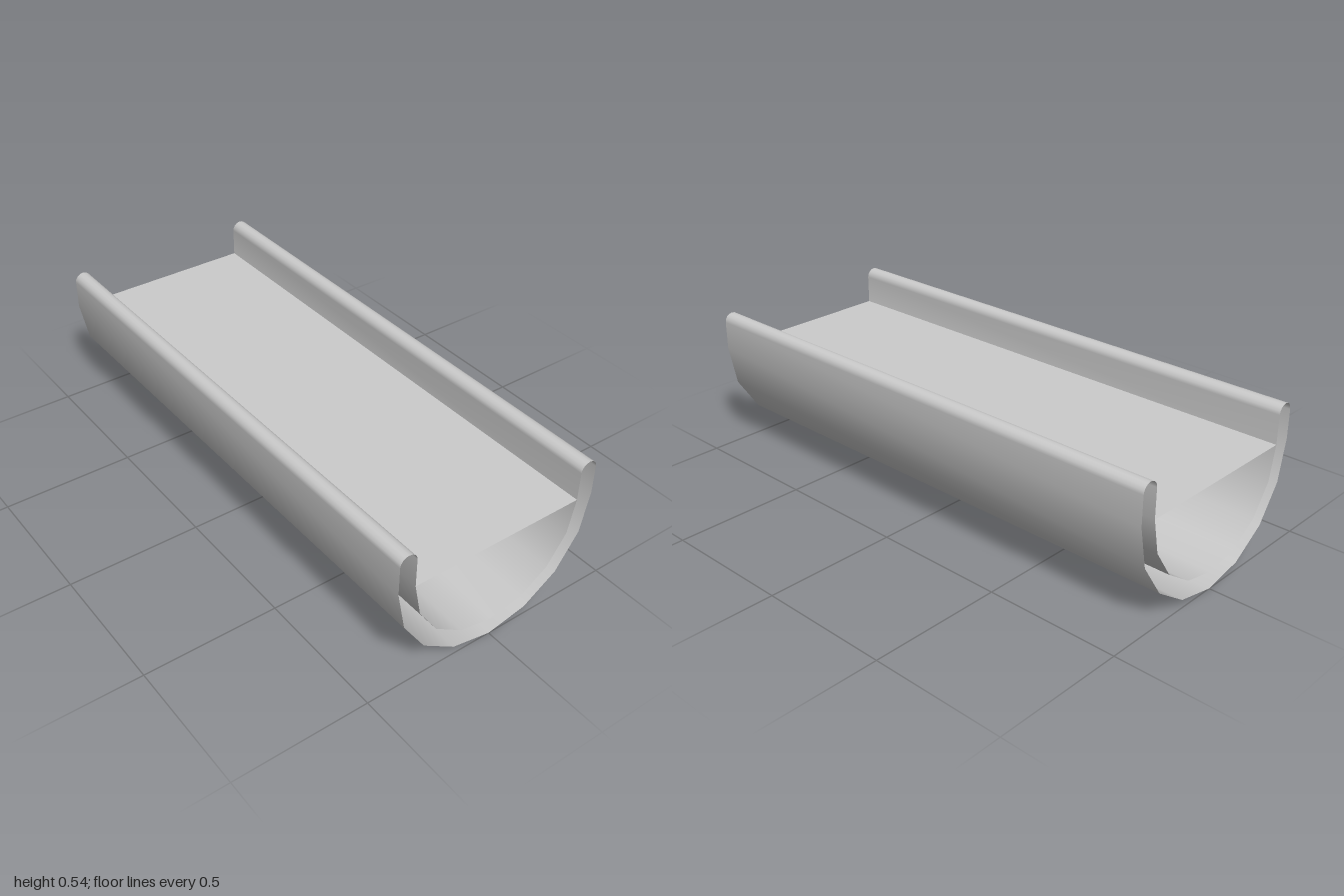
import * as THREE from 'three';

const R = 0.4, INNER = 0.335, LENGTH = 2;
const LIP = (R - INNER) / 2, LIP_Y = 0.54 - LIP;

// Points along an arc, both ends included
function arc(cx, cy, r, from, to, segments) {
  return Array.from({ length: segments + 1 }, (_, i) => {
    const a = from + (to - from) * i / segments;
    return [cx + r * Math.cos(a), cy + r * Math.sin(a)];
  });
}

// Sweeps a closed counter-clockwise outline along z, leaving the ends open
function openSweep(outline, length) {
  const n = outline.length, positions = [], index = [];
  for (const [x, y] of outline) positions.push(x, y, length / 2, x, y, -length / 2);
  for (let i = 0; i < n; i++) {
    const a = 2 * i, b = a + 1, c = 2 * ((i + 1) % n), d = c + 1;
    index.push(a, b, c, c, b, d);
  }
  const geometry = new THREE.BufferGeometry();
  geometry.setAttribute('position', new THREE.Float32BufferAttribute(positions, 3));
  geometry.setIndex(index);
  geometry.computeVertexNormals();
  return geometry;
}

export function createModel() {
  const group = new THREE.Group();
  group.name = 'trough';
  const material = new THREE.MeshStandardMaterial({ color: 0xcccccc, side: THREE.DoubleSide });

  // Hollow U-shaped wall: outer bowl, left lip, inner bowl, right lip
  const lipX = R - LIP;
  const outline = [
    ...arc(0, R, R, -Math.PI, 0, 8),
    ...arc(lipX, LIP_Y, LIP, 0, Math.PI, 8),
    ...arc(0, R, INNER, 0, -Math.PI, 8),
    ...arc(-lipX, LIP_Y, LIP, 0, Math.PI, 8),
  ];
  const wall = new THREE.Mesh(openSweep(outline, LENGTH), material);
  wall.name = 'troughWall';
  group.add(wall);

  // Flat sheet across the channel
  const surface = new THREE.Mesh(new THREE.PlaneGeometry(2 * INNER, LENGTH), material);
  surface.name = 'waterSurface';
  surface.rotation.x = -Math.PI / 2;
  surface.position.y = R;
  group.add(surface);

  return group;
}
